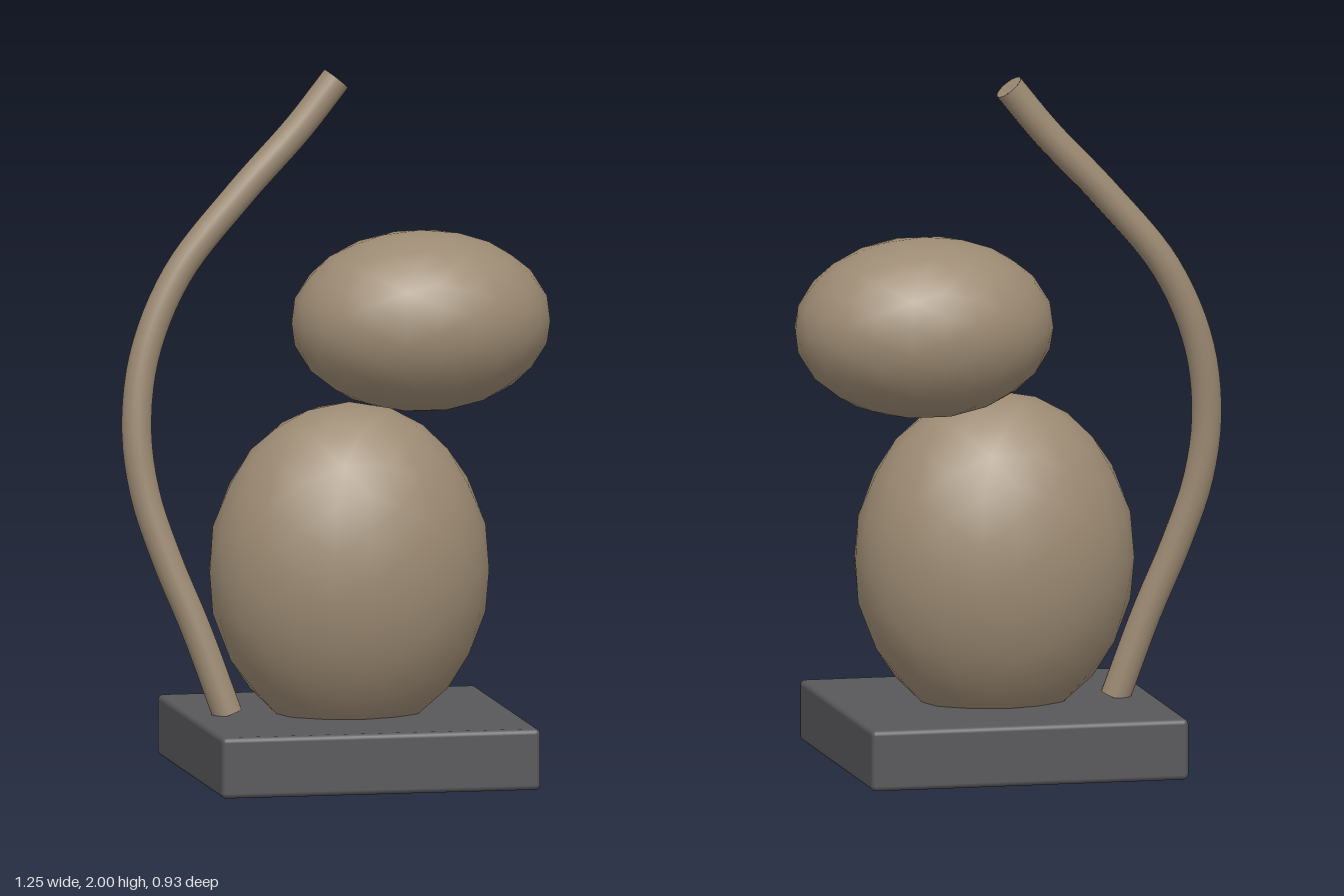
import * as THREE from 'three';
import { RoundedBoxGeometry } from 'three/addons/geometries/RoundedBoxGeometry.js';

export function createModel() {
  const model = new THREE.Group();
  model.name = 'stackedStoneSculpture';
  const clay = new THREE.MeshStandardMaterial({ color: 0x9c8a73 });
  const slate = new THREE.MeshStandardMaterial({ color: 0x58585b });

  const add = (name, geometry, material, x = 0, y = 0, z = 0) => {
    const mesh = new THREE.Mesh(geometry, material);
    mesh.name = name;
    mesh.position.set(x, y, z);
    model.add(mesh);
    return mesh;
  };

  // Square plinth with softened edges
  add('plinth', new RoundedBoxGeometry(0.925, 0.175, 0.925, 3, 0.015), slate, 0.015, 0.0925, 0);

  // Two egg-shaped stones, the lower one sunk into the plinth
  const stone = (name, rx, ry, rz, x, y, z) =>
    add(name, new THREE.IcosahedronGeometry(1, 3).scale(rx, ry, rz), clay, x, y, z);
  stone('lowerStone', 0.405, 0.48, 0.322, 0.015, 0.59, 0);
  stone('upperStone', 0.375, 0.26, 0.288, 0.247, 1.28, -0.117);

  // Curved rod sweeping up beside the stones
  const radius = 0.043, sides = 20;
  const path = new THREE.CatmullRomCurve3([
    [-0.335, 0.18, -0.015], [-0.42, 0.42, -0.038], [-0.5, 0.62, -0.062], [-0.56, 0.81, -0.085],
    [-0.581, 1.0, -0.102], [-0.552, 1.21, -0.122], [-0.455, 1.43, -0.14],
    [-0.27, 1.655, -0.153], [-0.1, 1.835, -0.166], [0.013, 1.973, -0.175],
  ].map((p) => new THREE.Vector3(...p)));
  add('curvedRod', new THREE.TubeGeometry(path, 48, radius, sides), clay);

  // Flat discs closing both rod ends
  for (const [name, t, sign] of [['rodFootCap', 0, -1], ['rodTipCap', 1, 1]]) {
    const p = path.getPointAt(t);
    const cap = add(name, new THREE.CircleGeometry(radius, sides), clay, p.x, p.y, p.z);
    const outward = path.getTangentAt(t).multiplyScalar(sign);
    cap.quaternion.setFromUnitVectors(new THREE.Vector3(0, 0, 1), outward);
  }
  return model;
}
